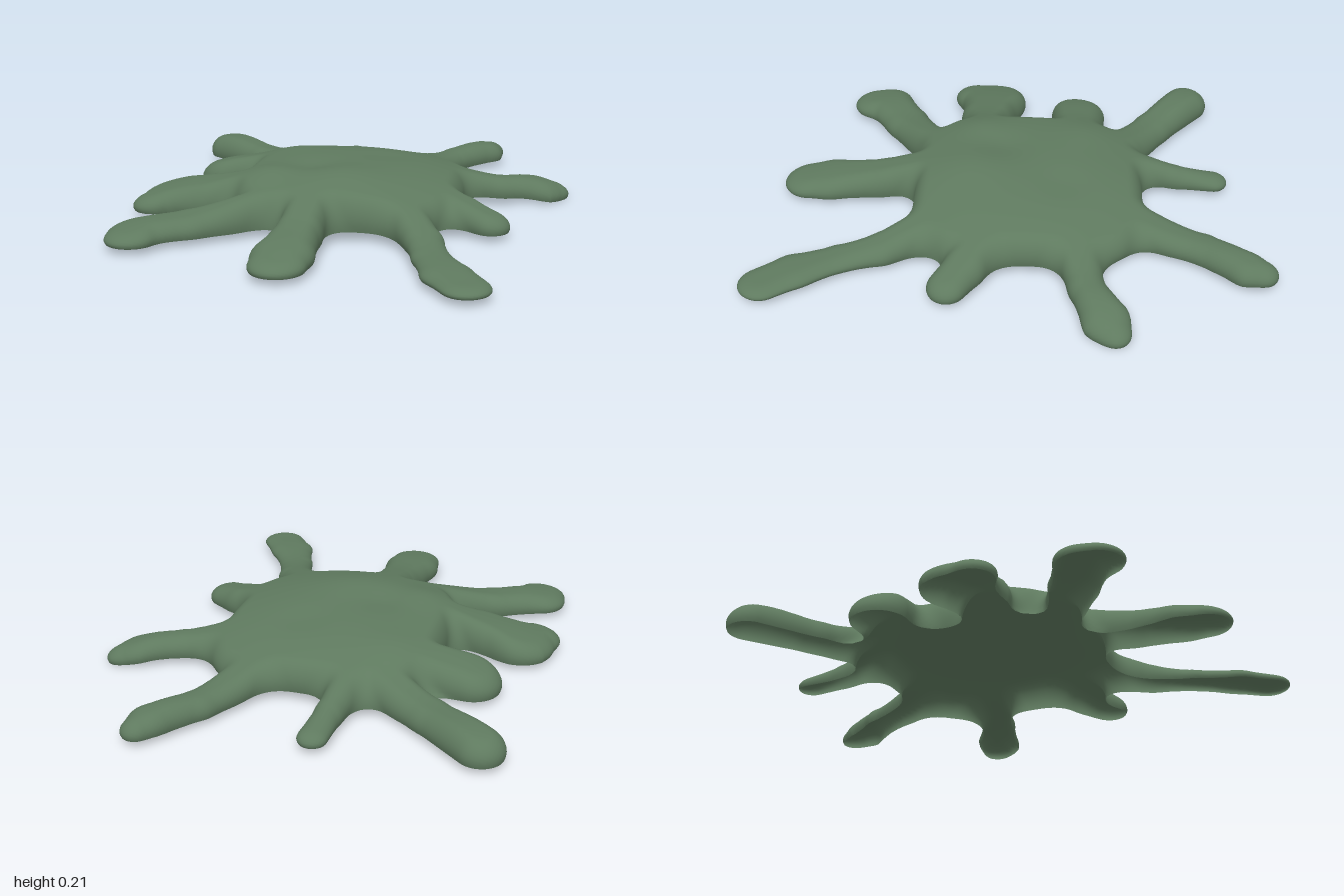
import * as THREE from 'three';

// Arms of the splat: each a path of [x, z, radius] from the body to the tip
const ARMS = [
  [[0.2, -0.46, 0.09], [0.32, -0.725, 0.068], [0.44, -0.885, 0.074], [0.46, -0.94, 0.056]],
  [[0.38, -0.25, 0.09], [0.57, -0.285, 0.066], [0.73, -0.355, 0.086], [0.78, -0.385, 0.058]],
  [[0.38, 0.11, 0.08], [0.48, 0.165, 0.077], [0.575, 0.225, 0.075]],
  [[0.26, 0.3, 0.085], [0.365, 0.49, 0.07], [0.415, 0.645, 0.067], [0.49, 0.8, 0.089], [0.565, 0.907, 0.088]],
  [[-0.09, 0.33, 0.09], [-0.087, 0.53, 0.084], [-0.093, 0.74, 0.11], [-0.09, 0.825, 0.104]],
  [[-0.26, 0.32, 0.065], [-0.52, 0.475, 0.088], [-0.69, 0.575, 0.102], [-0.69, 0.62, 0.1]],
  [[-0.4, 0.13, 0.08], [-0.55, 0.13, 0.107], [-0.69, 0.11, 0.135], [-0.75, 0.19, 0.088]],
  [[-0.42, -0.26, 0.1], [-0.58, -0.26, 0.113]],
  [[-0.32, -0.45, 0.08], [-0.5, -0.57, 0.077], [-0.71, -0.73, 0.09]],
  [[-0.17, -0.48, 0.07], [-0.15, -0.65, 0.049], [-0.14, -0.805, 0.055]],
];

// Gentle swellings on top: [x, z, height, radius]
const SWELLS = [
  [0, 0.17, 0.018, 0.16], [-0.3, -0.3, 0.012, 0.12], [-0.68, -0.7, 0.062, 0.22],
  [0.4, -0.85, 0.045, 0.2], [-0.09, 0.75, 0.022, 0.16], [-0.68, 0.12, 0.014, 0.15],
  [0.1, -0.2, -0.008, 0.1], [-0.15, 0.05, -0.012, 0.1], [0.72, -0.35, 0.03, 0.15],
  [-0.65, 0.56, 0.025, 0.15], [-0.58, -0.26, 0.01, 0.1], [-0.3, 0.15, 0.018, 0.11],
  [0.5, 0.78, 0.012, 0.15],
];

const RIM = 0.025, ROUND = 0.055, EXTRA = 0.035, TUCK = 0.45, STEP = 0.0125, BLEND = 0.06;

function smoothMin(a, b, k) {
  const h = Math.max(k - Math.abs(a - b), 0) / k;
  return Math.min(a, b) - h * h * k * 0.25;
}

// Distance to a tapered segment
function segment(x, z, [ax, az, ar], [bx, bz, br]) {
  const dx = bx - ax, dz = bz - az;
  const t = THREE.MathUtils.clamp(((x - ax) * dx + (z - az) * dz) / (dx * dx + dz * dz), 0, 1);
  return Math.hypot(x - ax - t * dx, z - az - t * dz) - ar - t * (br - ar);
}

// Depth inside the splat outline (negative outside)
function depth(x, z) {
  const qx = Math.abs(x - 0.002) - 0.185, qz = Math.abs(z + 0.06) - 0.2;
  let d = Math.hypot(Math.max(qx, 0), Math.max(qz, 0)) + Math.min(Math.max(qx, qz), 0) - 0.25;
  for (const arm of ARMS) {
    let limb = Infinity;
    for (let i = 1; i < arm.length; i++) limb = smoothMin(limb, segment(x, z, arm[i - 1], arm[i]), 0.02);
    d = smoothMin(d, limb, BLEND);
  }
  return -d;
}

// Height of the upper surface before the edge is rounded down
function topHeight(x, z) {
  const r = Math.hypot(x + 0.05, z + 0.02);
  let y = 0.055 + 0.145 * Math.exp(-Math.pow(r / 0.62, 3));
  for (const [sx, sz, h, s] of SWELLS) y += h * Math.exp(-((x - sx) ** 2 + (z - sz) ** 2) / (s * s));
  return y;
}

// Roll the flat sheet over at its edge along an ellipse, slightly tucked in below
function place(x, z) {
  const d = depth(x, z), s = Math.max(d + EXTRA, 0), length = ROUND + EXTRA;
  let rise = 1;
  if (s < length) {
    const e = 0.004, angle = -TUCK + (s / length) * (Math.PI / 2 + TUCK);
    const gx = depth(x + e, z) - depth(x - e, z), gz = depth(x, z + e) - depth(x, z - e);
    const shift = (ROUND * (1 - Math.cos(angle)) - d) / (Math.hypot(gx, gz) || 1);
    x += gx * shift;
    z += gz * shift;
    rise = (Math.sin(angle) + Math.sin(TUCK)) / (1 + Math.sin(TUCK));
  }
  // The rim lifts a little between the arms and droops at the arm on the left
  const rim = RIM + 0.012 * (1 - THREE.MathUtils.smoothstep(Math.hypot(x, z + 0.06), 0.44, 0.64));
  const droop = 0.025 * THREE.MathUtils.smoothstep(x, 0.62, 0.83);
  return [x, rim + (topHeight(x, z) - rim) * rise - droop, z];
}

function splatGeometry() {
  const nx = Math.ceil(1.9 / STEP), nz = Math.ceil(2.2 / STEP);
  const positions = [], indices = [], cache = new Map(), field = [];
  const gridX = i => -0.95 + i * STEP, gridZ = j => -1.1 + j * STEP;
  for (let j = 0; j <= nz; j++)
    for (let i = 0; i <= nx; i++) field.push(depth(gridX(i), gridZ(j)) + EXTRA);

  const vertex = (key, x, z) => {
    if (!cache.has(key)) {
      cache.set(key, positions.length / 3);
      positions.push(...place(x, z));
    }
    return cache.get(key);
  };
  const corner = n => [gridX(n % (nx + 1)), gridZ(Math.floor(n / (nx + 1)))];

  // Keep the part of each triangle that lies inside the outline
  const addTriangle = tri => {
    const poly = [];
    tri.forEach((a, k) => {
      const b = tri[(k + 1) % 3];
      if (field[a] > 0) poly.push(vertex(a, ...corner(a)));
      if (field[a] > 0 !== field[b] > 0) {
        const lo = Math.min(a, b), hi = Math.max(a, b), t = field[lo] / (field[lo] - field[hi]);
        const [x0, z0] = corner(lo), [x1, z1] = corner(hi);
        poly.push(vertex(`${lo}_${hi}`, x0 + t * (x1 - x0), z0 + t * (z1 - z0)));
      }
    });
    for (let k = 2; k < poly.length; k++) indices.push(poly[0], poly[k - 1], poly[k]);
  };
  for (let j = 0; j < nz; j++) {
    for (let i = 0; i < nx; i++) {
      const a = j * (nx + 1) + i, b = a + nx + 1;
      addTriangle([a, b, b + 1]);
      addTriangle([a, b + 1, a + 1]);
    }
  }

  const geometry = new THREE.BufferGeometry();
  geometry.setAttribute('position', new THREE.Float32BufferAttribute(positions, 3));
  geometry.setIndex(indices);
  geometry.computeVertexNormals();
  return geometry;
}

export function createModel() {
  const group = new THREE.Group();
  group.name = 'slimeSplat';
  const green = new THREE.MeshStandardMaterial({ color: 0x5f7a5f, side: THREE.DoubleSide });
  green.name = 'mossGreen';

  // Hollow shell, open underneath
  const splat = new THREE.Mesh(splatGeometry(), green);
  splat.name = 'splatShell';
  group.add(splat);
  return group;
}
